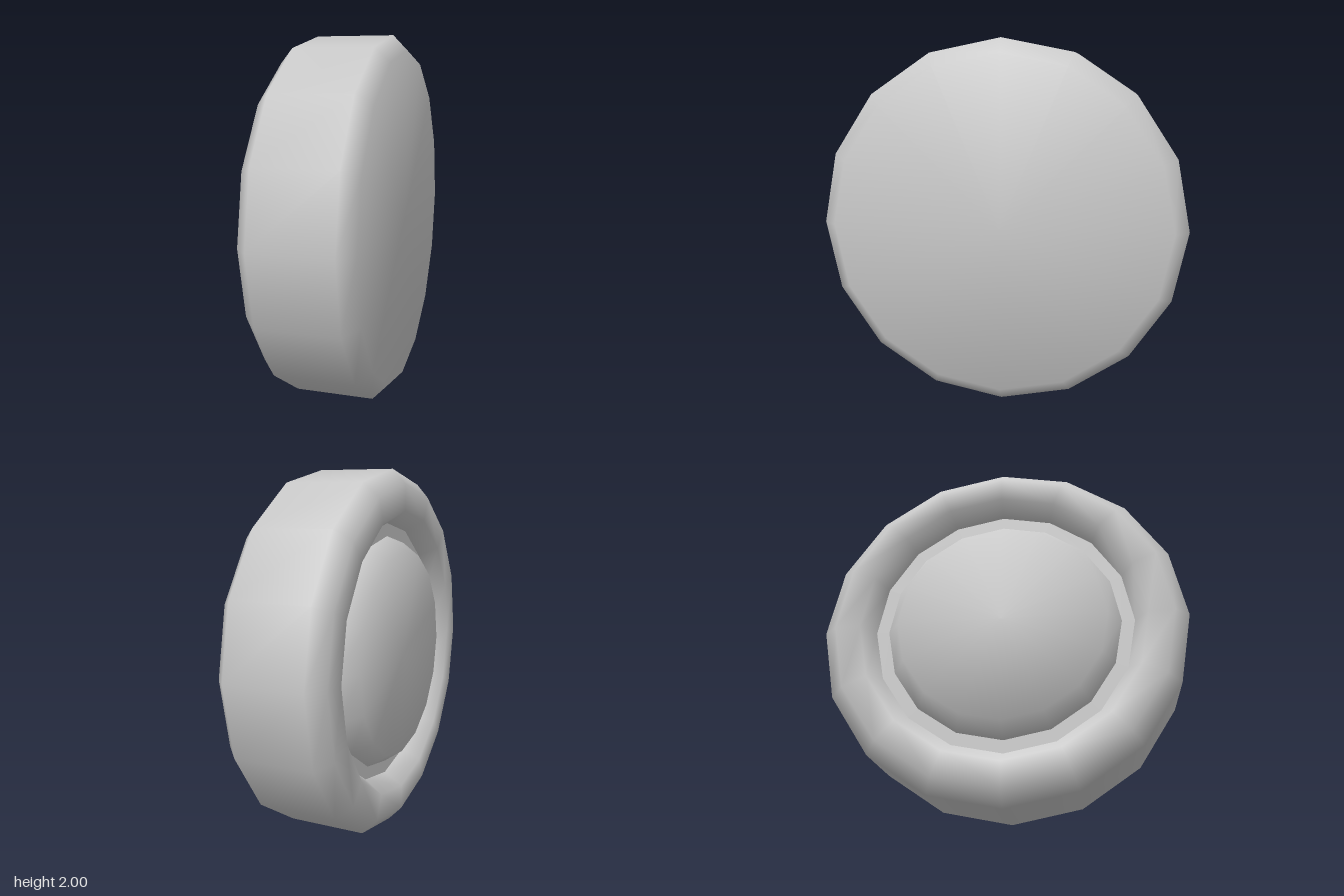
import * as THREE from 'three';

const SIDES = 16;

// Spins a profile of [radius, x] points around the x axis. Each normal is the
// plain mean of the two neighbouring slopes, so flat caps shade softly to their rims.
function spin(name, profile) {
  const points = profile.map(([r, x]) => new THREE.Vector2(r, x));
  const geometry = new THREE.LatheGeometry(points, SIDES);
  const slopes = points.slice(1).map((p, i) => {
    const d = p.clone().sub(points[i]).normalize();
    return new THREE.Vector2(d.y, -d.x);
  });
  const normal = geometry.attributes.normal;
  for (let i = 0; i < normal.count; i++) {
    const j = i % points.length;
    const angle = (Math.floor(i / points.length) / SIDES) * Math.PI * 2;
    const n = new THREE.Vector2();
    if (j > 0) n.add(slopes[j - 1]);
    if (j < slopes.length) n.add(slopes[j]);
    n.normalize();
    normal.setXYZ(i, n.x * Math.sin(angle), n.y, n.x * Math.cos(angle));
  }
  geometry.rotateZ(-Math.PI / 2);
  const mesh = new THREE.Mesh(geometry, new THREE.MeshStandardMaterial({ color: 0xcccccc }));
  mesh.name = name;
  mesh.position.y = 1;
  return mesh;
}

export function createModel() {
  const wheel = new THREE.Group();
  wheel.name = 'wheel';

  // Bevelled tyre, closed on the left and open on the right around the hub
  wheel.add(spin('tyre', [
    [0.715, -0.185], [0.78, -0.29], [0.92, -0.29], [1, -0.215],
    [1, 0.215], [0.92, 0.29], [0, 0.29],
  ]));

  // Flat floor of the groove between tyre and hub
  wheel.add(spin('grooveFloor', [[0.64, -0.185], [0.715, -0.185]]));

  // Bevelled hub rising from the groove, level with the tyre wall
  wheel.add(spin('hub', [[0, -0.29], [0.57, -0.29], [0.645, -0.185]]));

  return wheel;
}
